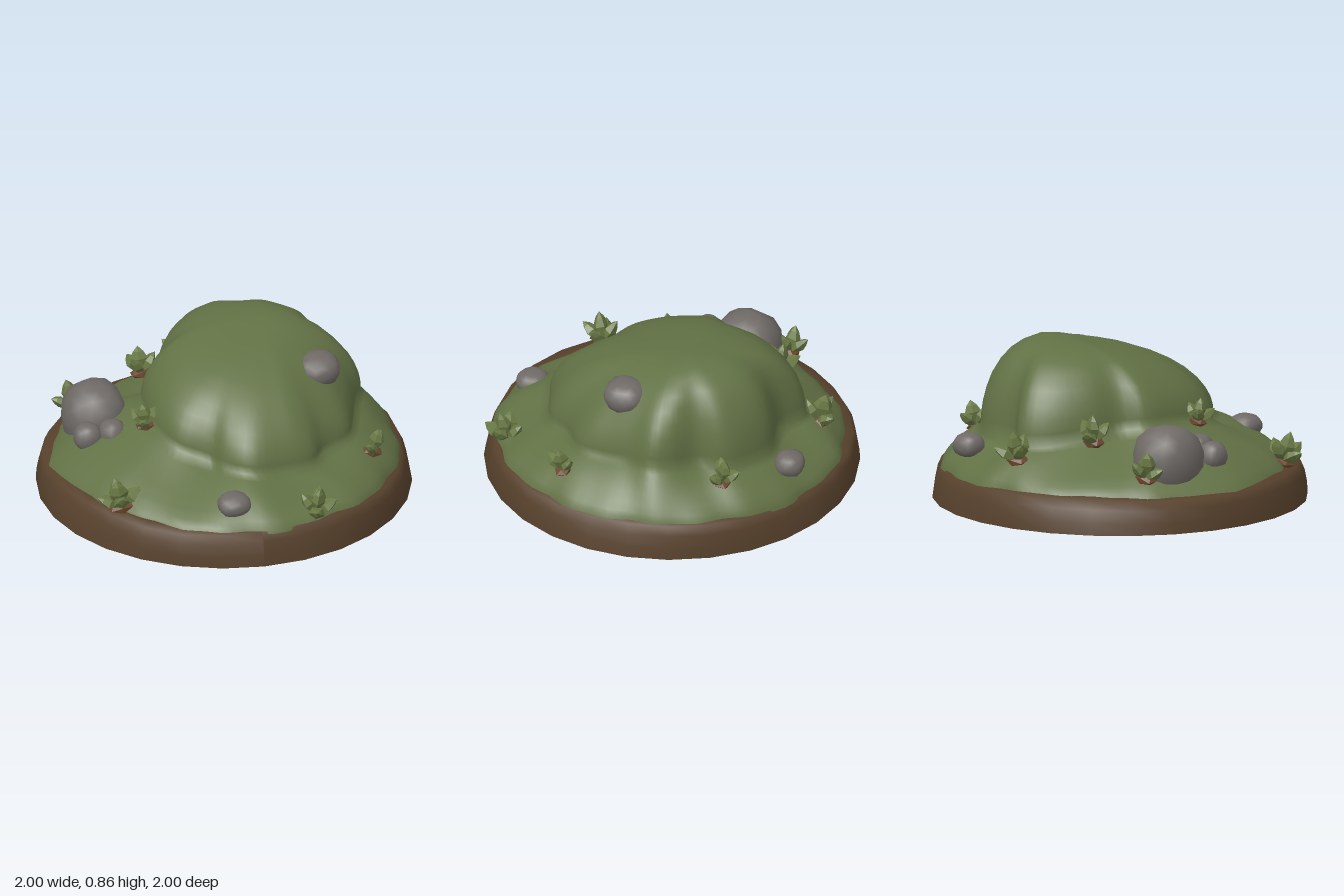
import * as THREE from 'three';
import { mergeVertices } from 'three/addons/utils/BufferGeometryUtils.js';

const paint = (name, color, extra = {}) => {
  const m = new THREE.MeshStandardMaterial({ color, ...extra });
  m.name = name;
  return m;
};

export function createModel() {
  const model = new THREE.Group();
  const grass = paint('grass', 0x627145);
  const earth = paint('earth', 0x57412c);
  const stone = paint('stone', 0x6f6a66);
  const leafGreen = paint('leaf', 0x687844, { flatShading: true });
  const clay = paint('clay', 0x6c472f, { flatShading: true });

  const add = (name, geo, mat, parent = model) => {
    const mesh = new THREE.Mesh(geo, mat);
    mesh.name = name;
    parent.add(mesh);
    return mesh;
  };

  // Smooth surface through closed loops, ordered from outside to inside
  const loft = (rings) => {
    const n = rings[0].length, pos = [], idx = [];
    rings.forEach((ring) => ring.forEach((p) => pos.push(p.x, p.y, p.z)));
    for (let j = 0; j < rings.length - 1; j++) {
      for (let i = 0; i < n; i++) {
        const a = j * n + i, b = j * n + (i + 1) % n;
        idx.push(a, b, a + n, b, b + n, a + n);
      }
    }
    let geo = new THREE.BufferGeometry();
    geo.setAttribute('position', new THREE.Float32BufferAttribute(pos, 3));
    geo.setIndex(idx);
    geo = mergeVertices(geo, 1e-4);
    geo.computeVertexNormals();
    return geo;
  };

  // Earth disc with a softly rounded, slightly uneven rim
  const side = [[1, 0], [0.997, 0.06], [0.985, 0.13], [0.965, 0.178], [0.9, 0.185], [0, 0.185]];
  const rim = new THREE.LatheGeometry(side.map(([r, y]) => new THREE.Vector2(r, y)), 28);
  const rp = rim.attributes.position;
  for (let i = 0; i < rp.count; i++) {
    const a = Math.atan2(rp.getX(i), rp.getZ(i)), y = rp.getY(i);
    const k = 1 - y * 0.06 * (1 + Math.sin(5 * a + 1));
    rp.setXYZ(i, rp.getX(i) * k, y > 0.1 ? y + 0.006 * Math.sin(4 * a) : y, rp.getZ(i) * k);
  }
  rim.computeVertexNormals();
  add('earthBase', rim, earth);
  add('earthUnderside', new THREE.CircleGeometry(1, 28).rotateX(Math.PI / 2), earth);

  // Foot of the upper mound: x, height, z, from the front round by +x
  const foot = [
    [0, 0.37, 0.65], [0.18, 0.35, 0.63], [0.35, 0.35, 0.58], [0.44, 0.36, 0.47], [0.6, 0.37, 0.36],
    [0.66, 0.38, 0.2], [0.7, 0.4, 0.06], [0.76, 0.43, -0.07], [0.72, 0.42, -0.17], [0.61, 0.38, -0.29],
    [0.6, 0.37, -0.43], [0.52, 0.36, -0.53], [0.36, 0.36, -0.63], [0.15, 0.37, -0.63],
    [-0.01, 0.37, -0.73], [-0.15, 0.38, -0.65], [-0.27, 0.42, -0.45], [-0.31, 0.44, -0.28],
    [-0.41, 0.46, -0.19], [-0.43, 0.46, 0.05], [-0.4, 0.44, 0.24],
    [-0.33, 0.41, 0.37], [-0.18, 0.37, 0.46], [-0.12, 0.37, 0.56],
  ].map((p) => new THREE.Vector3(...p));
  const outline = new THREE.CatmullRomCurve3(foot, true, 'centripetal');
  const N = 96, spread = 9;
  const ledge = Array.from({ length: N }, (_, i) => outline.getPoint(i / N));

  // Outline with its lobes averaged away, for the crown
  const softened = ledge.map((_, i) => {
    const sum = new THREE.Vector3();
    for (let k = -spread; k <= spread; k++) sum.add(ledge[(i + k + N) % N]);
    return sum.divideScalar(2 * spread + 1);
  });

  // Ragged grass edge, tucked just under the disc's top
  const edge = ledge.map((p) => {
    const a = Math.atan2(p.x, p.z);
    const r = 0.94 + 0.008 * Math.sin(3 * a + 0.5) + 0.008 * Math.sin(11 * a) + 0.006 * Math.sin(23 * a)
      - 0.05 * Math.max(0, -Math.sin(a)) * Math.abs(Math.sin(2 * a));
    return new THREE.Vector3(r * Math.sin(a), 0.165, r * Math.cos(a));
  });

  // Gentle lower slope
  const slope = [0, 0.04, 0.12, 0.25, 0.45, 0.65, 0.85, 1].map((t) => edge.map((p, i) => {
    const q = p.clone().lerp(ledge[i], t);
    q.y += 0.035 * Math.sin(Math.PI * Math.sqrt(t)) + 0.012 * Math.sin(9 * q.x + 2) * Math.sin(Math.PI * t);
    return q;
  }));

  // Steep-sided upper mound whose lobes fade towards a flat, tilted crown
  const crown = new THREE.Vector3(0.22, 0, -0.12);
  const dome = [0.995, 0.98, 0.95, 0.9, 0.82, 0.72, 0.6, 0.45, 0.3, 0.15, 0].map((t) => ledge.map((p, i) => {
    const q = softened[i].clone().lerp(p, t ** 2);
    const out = q.clone().sub(crown).setY(0).normalize();
    const x = crown.x + (q.x - crown.x) * t, z = crown.z + (q.z - crown.z) * t;
    const top = 0.865 - 0.19 * Math.max(0, z + 0.2) - 0.07 * Math.max(0, 0.3 - x)
      - 0.6 * Math.max(0, x - 0.25) * Math.max(0, z + 0.1);
    const power = 3.6 - 0.7 * out.x - 0.8 * Math.min(0, out.z);
    return new THREE.Vector3(x, q.y + (top - q.y) * Math.sqrt(1 - t ** power), z);
  }));
  add('grassyMound', loft([...slope, ...dome]), grass);

  // Blocky rounded boulders: centre, radii
  const rocks = [
    [-0.65, 0.335, -0.25, 0.17, 0.19, 0.185], [-0.74, 0.34, -0.01, 0.075, 0.075, 0.075],
    [-0.61, 0.36, 0.01, 0.07, 0.07, 0.08], [0.485, 0.685, 0.13, 0.115, 0.085, 0.12],
    [-0.12, 0.28, 0.79, 0.088, 0.06, 0.088], [0.38, 0.32, -0.74, 0.083, 0.065, 0.08],
  ];
  rocks.forEach(([x, y, z, rx, ry, rz], n) => {
    let geo = new THREE.IcosahedronGeometry(1, 2);
    geo.deleteAttribute('normal');
    geo.deleteAttribute('uv');
    geo = mergeVertices(geo, 1e-3);
    const p = geo.attributes.position;
    for (let i = 0; i < p.count; i++) {
      const [a, b, c] = [p.getX(i), p.getY(i), p.getZ(i)];
      const box = (Math.abs(a) ** 2.4 + Math.abs(b) ** 2.4 + Math.abs(c) ** 2.4) ** (1 / 2.4);
      const k = (1 + 0.03 * Math.sin(4 * a + 3 * b + 5 * c + n * 2)) / box;
      p.setXYZ(i, a * k * rx, b * k * ry, c * k * rz);
    }
    geo.computeVertexNormals();
    add('boulder', geo, stone).position.set(x, y, z);
  });

  // Leafy tufts: one upright leaf and a splayed ring over a clay clump
  const leaf = new THREE.LatheGeometry(
    [[0, 0], [0.028, 0.025], [0.05, 0.085], [0.03, 0.125], [0, 0.155]].map(([r, y]) => new THREE.Vector2(r, y)), 5);
  leaf.scale(1, 1, 0.7);
  const clump = new THREE.IcosahedronGeometry(0.05, 0).scale(1.3, 0.6, 1.1);
  // position, size, leaves in the ring
  const tufts = [
    [-0.68, 0.21, 0.55, 1.1, 4], [0.32, 0.195, 0.82, 1.08, 4], [0.715, 0.31, 0.42, 0.9, 2],
    [-0.46, 0.455, 0.14, 0.85, 3], [0.65, 0.33, -0.44, 0.95, 3], [-0.06, 0.32, -0.79, 1.08, 3],
    [-0.34, 0.42, -0.5, 1, 3], [-0.72, 0.28, -0.47, 1, 3],
  ];
  tufts.forEach(([x, y, z, size, count], n) => {
    const tuft = new THREE.Group();
    tuft.name = 'leafTuft';
    tuft.position.set(x, y, z);
    tuft.scale.setScalar(size);
    // lean the tuft away from the hill
    tuft.rotation.set(z * 0.3, 0, -x * 0.3);
    add('clayClump', clump, clay, tuft);
    add('uprightLeaf', leaf, leafGreen, tuft).rotation.y = n;
    for (let i = 0; i < count; i++) {
      const pivot = new THREE.Group();
      pivot.name = 'leafPivot';
      pivot.rotation.y = n * 1.3 + (i / count) * Math.PI * 2;
      const blade = add('outerLeaf', leaf, leafGreen, pivot);
      blade.rotation.x = 0.7 + 0.2 * (i % 2);
      blade.scale.setScalar(0.88);
      tuft.add(pivot);
    }
    model.add(tuft);
  });

  return model;
}
